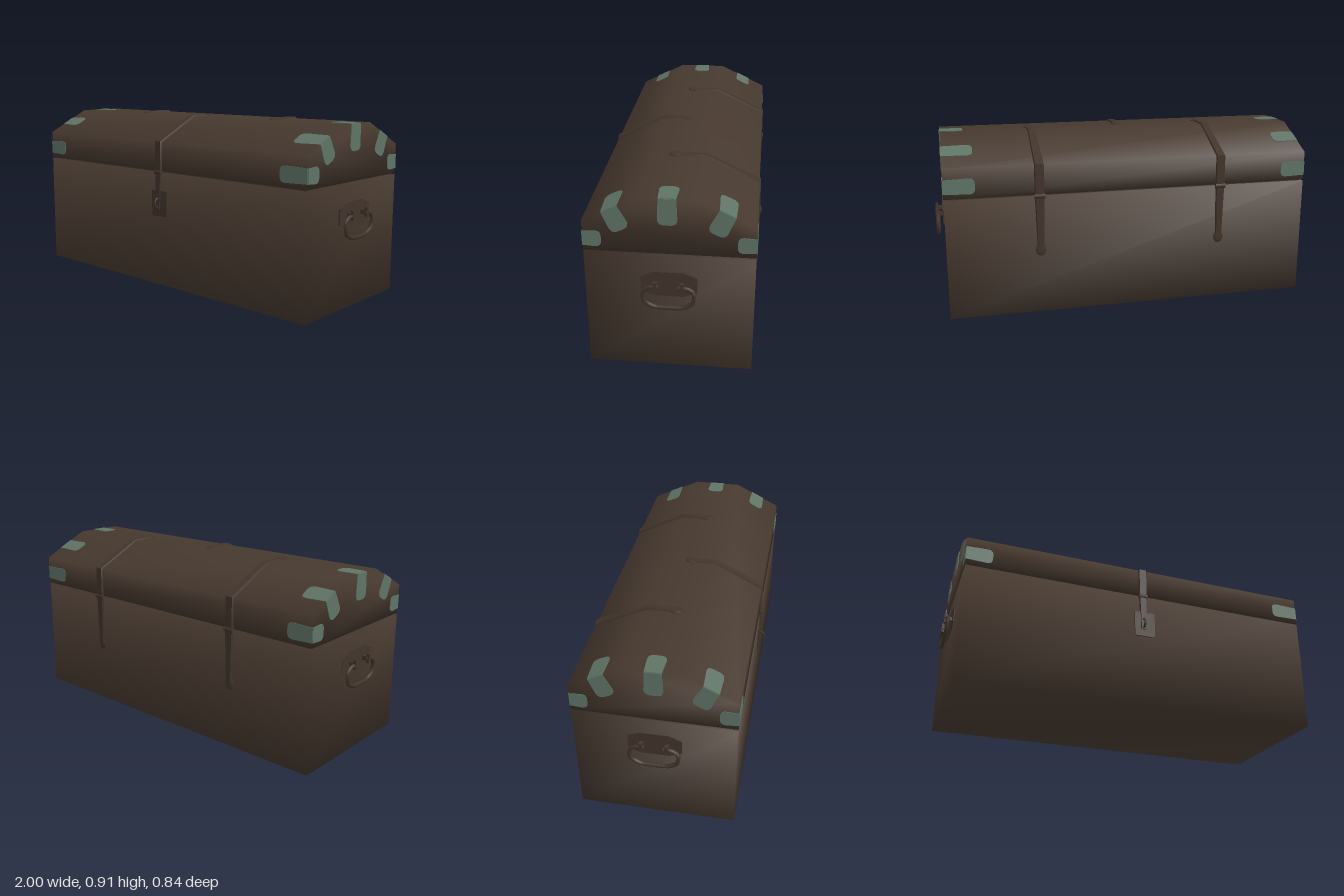
import * as THREE from 'three';
import { mergeVertices, toCreasedNormals } from 'three/addons/utils/BufferGeometryUtils.js';

const wood = new THREE.MeshStandardMaterial({ name: 'dark wood', color: 0x47392f });
const iron = new THREE.MeshStandardMaterial({ name: 'brown iron', color: 0x41342b });
const green = new THREE.MeshStandardMaterial({ name: 'green patina', color: 0x5f7466 });

const X0 = -0.96, X1 = 0.952, ZB = -0.405, ZF = 0.378;
const V = (x, y, z) => new THREE.Vector3(x, y, z);

// weld corners so shading flows softly over the edges
function soften(geo) {
  geo.deleteAttribute('normal');
  geo.deleteAttribute('uv');
  const g = mergeVertices(geo, 1e-4);
  g.computeVertexNormals();
  return g;
}

function add(parent, name, geo, mat, x = 0, y = 0, z = 0) {
  const m = new THREE.Mesh(geo, mat);
  m.name = name;
  m.position.set(x, y, z);
  parent.add(m);
  return m;
}

const poly = pts => new THREE.Shape(pts.map(p => new THREE.Vector2(p[0], p[1])));

// ribbon running over the lid; points are [z, y, half width]
function strapGeometry(pts, thick) {
  const pos = [], idx = [], n = pts.length;
  pts.forEach(([z, y, w], i) => {
    const a = pts[Math.max(i - 1, 0)], b = pts[Math.min(i + 1, n - 1)];
    const t = new THREE.Vector2(b[0] - a[0], b[1] - a[1]).normalize();
    const oz = z - t.y * thick, oy = y + t.x * thick;
    pos.push(-w, y, z, w, y, z, w * 0.8, oy, oz, -w * 0.8, oy, oz);
    if (i < n - 1) {
      for (let j = 0; j < 4; j++) {
        const p = i * 4 + j, q = i * 4 + (j + 1) % 4;
        idx.push(p, q, q + 4, p, q + 4, p + 4);
      }
    }
  });
  const e = (n - 1) * 4;
  idx.push(0, 2, 1, 0, 3, 2, e, e + 1, e + 2, e, e + 2, e + 3);
  const g = new THREE.BufferGeometry();
  g.setAttribute('position', new THREE.Float32BufferAttribute(pos, 3));
  g.setIndex(idx);
  return toCreasedNormals(g, 0.9);
}

// painted patch: square at the edge, rounded further in
function patchGeometry(w, len) {
  const h = w / 2, r = w * 0.35;
  const s = new THREE.Shape();
  s.moveTo(-h * 0.9, 0);
  s.lineTo(h * 0.9, 0);
  s.lineTo(h, len - r);
  s.quadraticCurveTo(h, len, h - r, len);
  s.lineTo(-h + r, len);
  s.quadraticCurveTo(-h, len, -h, len - r);
  return new THREE.ExtrudeGeometry(s, { depth: 0.003, bevelEnabled: false, curveSegments: 4 });
}

function addPatch(parent, origin, inward, normal, w, len) {
  const m = add(parent, 'patinaPatch', patchGeometry(w, len), green);
  const across = inward.clone().cross(normal);
  m.quaternion.setFromRotationMatrix(new THREE.Matrix4().makeBasis(across, inward, normal));
  m.position.copy(origin);
}

function makeHandle() {
  const g = new THREE.Group();
  g.name = 'endHandle';
  // back plate
  const plate = new THREE.ExtrudeGeometry(poly([[-0.13, 0.43], [-0.07, 0.405], [0.07, 0.405], [0.13, 0.43],
    [0.13, 0.507], [0.07, 0.533], [-0.07, 0.533], [-0.13, 0.507]]), { depth: 0.008, bevelEnabled: false });
  plate.rotateY(Math.PI / 2);
  add(g, 'handlePlate', plate, iron);
  for (const s of [-1, 1]) {
    // lugs that hold the bail
    add(g, 'handleLug', new THREE.BoxGeometry(0.035, 0.022, 0.018), iron, 0.018, 0.47, s * 0.062);
    add(g, 'handleLugHead', new THREE.BoxGeometry(0.014, 0.048, 0.018), iron, 0.038, 0.472, s * 0.062);
  }
  // hanging bail
  const half = [[0.045, 0.468], [0.085, 0.468], [0.112, 0.452], [0.12, 0.425], [0.11, 0.385], [0.06, 0.36]];
  const path = [...half.map(p => V(0.034, p[1], p[0])), ...half.reverse().map(p => V(0.034, p[1], -p[0]))];
  const curve = new THREE.CatmullRomCurve3(path, false, 'catmullrom', 0.2);
  add(g, 'handleBail', new THREE.TubeGeometry(curve, 22, 0.0105, 6), iron);
  return g;
}

export function createModel() {
  const chest = new THREE.Group();
  chest.name = 'chest';
  const cx = (X0 + X1) / 2, cz = (ZB + ZF) / 2, L = X1 - X0, D = ZF - ZB;

  // body and the recessed rim under the lid
  add(chest, 'body', soften(new THREE.BoxGeometry(L, 0.62, D)), wood, cx, 0.31, cz);
  add(chest, 'innerRim', new THREE.BoxGeometry(L - 0.03, 0.04, D - 0.03), wood, cx, 0.625, cz);

  // faceted lid
  const profile = [[ZF, 0.628], [ZF, 0.78], [0.125, 0.905], [-0.14, 0.905], [ZB, 0.78], [ZB, 0.628]];
  const lidGeo = new THREE.ExtrudeGeometry(poly(profile.map(([z, y]) => [-z, y])), { depth: L, bevelEnabled: false });
  lidGeo.rotateY(Math.PI / 2);
  lidGeo.translate(X0, 0, 0);
  add(chest, 'lid', soften(lidGeo), wood);

  // worn patches wrapping each end of the lid
  const patches = new THREE.Group();
  patches.name = 'patinaPatches';
  chest.add(patches);
  for (let i = 0; i < 5; i++) {
    const [za, ya] = profile[i], [zb, yb] = profile[i + 1];
    const normal = V(0, za - zb, yb - ya).normalize();
    const side = i === 0 || i === 4;
    const mid = V(0, side ? 0.69 : (ya + yb) / 2, (za + zb) / 2);
    for (const s of [-1, 1]) {
      const origin = mid.clone().setX(s < 0 ? X0 : X1);
      const out = V(s, 0, 0);
      addPatch(patches, origin, out.clone().negate(), normal, side ? 0.08 : 0.09, i === 2 ? 0.12 : s < 0 ? 0.135 : 0.155);
      addPatch(patches, origin, normal.clone().negate(), out, side ? 0.08 : 0.09, side ? 0.085 : i === 2 ? 0.13 : 0.115);
    }
  }

  // long hinge straps at the back
  for (const x of [-0.48, 0.48]) {
    const hinge = new THREE.Group();
    hinge.name = 'hingeStrap';
    hinge.position.x = x;
    hinge.rotation.y = Math.PI;
    const b = -ZB;
    add(hinge, 'hingeBand', strapGeometry([[-0.01, 0.904, 0.018], [0.14, 0.904, 0.021], [b, 0.779, 0.025],
      [b, 0.62, 0.025], [b, 0.33, 0.017]], 0.009), iron);
    const topKnob = add(hinge, 'hingeTopEnd', new THREE.SphereGeometry(0.03, 10, 6), iron, 0, 0.905, -0.005);
    topKnob.scale.set(1, 0.3, 1.2);
    const lowKnob = add(hinge, 'hingeLowerEnd', new THREE.SphereGeometry(0.028, 10, 6), iron, 0, 0.338, b);
    lowKnob.scale.set(1, 1.2, 0.3);
    const barrel = add(hinge, 'hingeBarrel', new THREE.CylinderGeometry(0.014, 0.014, 0.054, 8), iron, 0, 0.62, b + 0.002);
    barrel.rotation.z = Math.PI / 2;
    chest.add(hinge);
  }

  // hasp at the front
  const hasp = new THREE.Group();
  hasp.name = 'frontHasp';
  hasp.position.x = -0.008;
  add(hasp, 'haspBand', strapGeometry([[0.0, 0.904, 0.018], [0.125, 0.904, 0.02], [ZF, 0.779, 0.025],
    [ZF, 0.62, 0.022], [ZF + 0.004, 0.42, 0.015]], 0.009), iron);
  add(hasp, 'haspTopEnd', new THREE.SphereGeometry(0.027, 10, 6), iron, 0, 0.905, -0.002).scale.set(1, 0.3, 1.2);
  const barrel = add(hasp, 'haspBarrel', new THREE.CylinderGeometry(0.013, 0.013, 0.048, 8), iron, 0, 0.62, ZF + 0.002);
  barrel.rotation.z = Math.PI / 2;
  add(hasp, 'haspPlate', new THREE.BoxGeometry(0.112, 0.14, 0.008), iron, 0.008, 0.452, ZF + 0.003);
  const staple = new THREE.TorusGeometry(0.026, 0.006, 6, 6, Math.PI);
  staple.rotateZ(-Math.PI / 2);
  staple.rotateY(-Math.PI / 2);
  add(hasp, 'haspStaple', staple, iron, 0, 0.455, ZF + 0.007);
  chest.add(hasp);

  // carrying handles on both ends
  for (const s of [-1, 1]) {
    const handle = makeHandle();
    handle.position.set(s > 0 ? X1 : X0 + 0.005, 0, -0.012);
    if (s < 0) handle.rotation.y = Math.PI;
    chest.add(handle);
  }
  return chest;
}
